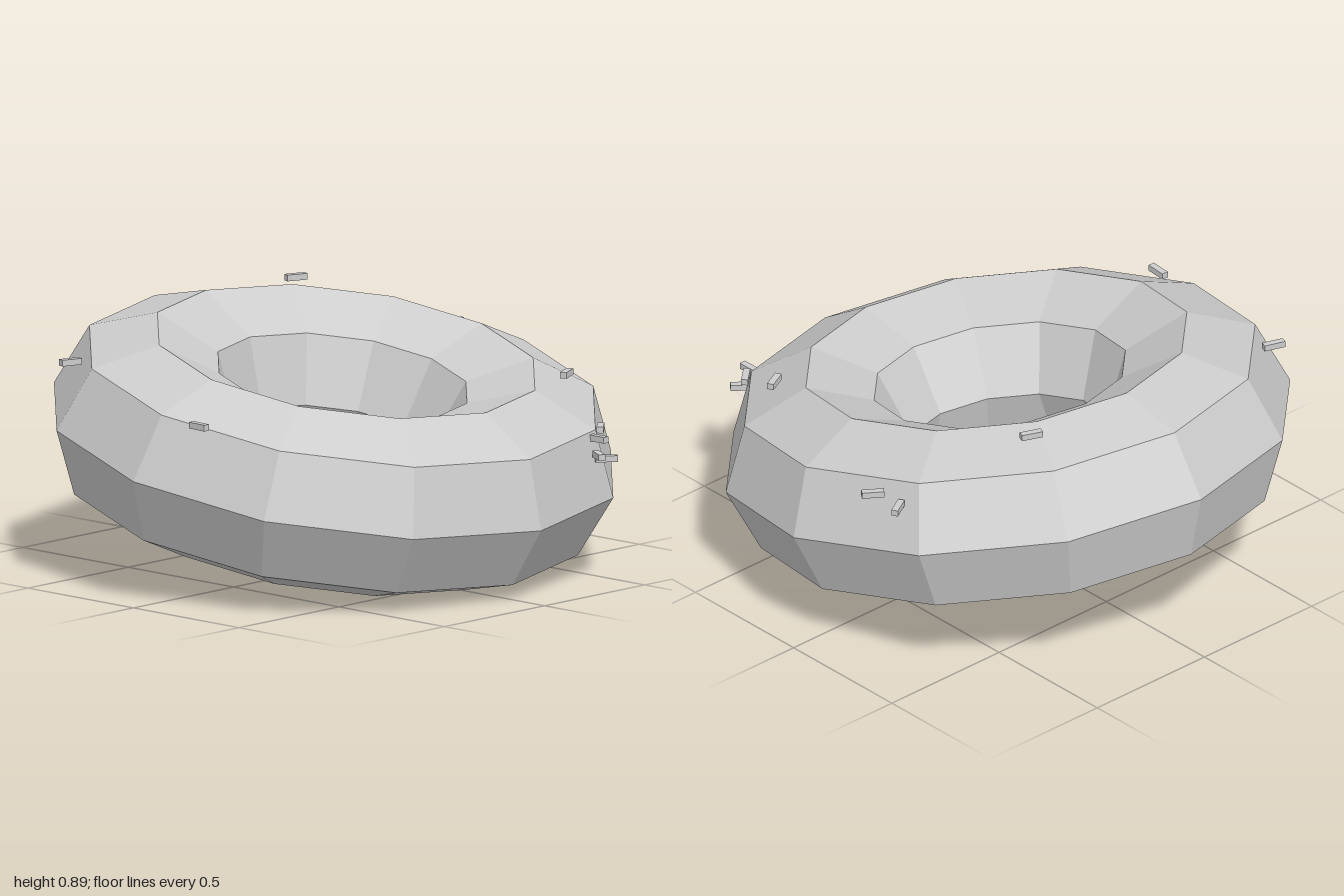
import * as THREE from 'three';

export function createModel() {
  const model = new THREE.Group();
  model.name = 'ringDoughnut';

  const gray = new THREE.MeshStandardMaterial({ color: 0xcccccc });
  gray.name = 'light gray';
  gray.flatShading = true;

  // Low-poly ring, laid flat and tipped towards the front
  const ringGeometry = new THREE.TorusGeometry(0.675, 0.325, 8, 12);
  ringGeometry.rotateX(Math.PI / 2);
  const ring = new THREE.Mesh(ringGeometry, gray);
  ring.name = 'ring';
  ring.rotation.x = THREE.MathUtils.degToRad(10.5);
  ring.position.y = 0.443;
  model.add(ring);

  // Level sprinkles scattered over the ring: x, y, z, turn about y
  const sprinkles = new THREE.Group();
  sprinkles.name = 'sprinkles';
  const sprinkleGeometry = new THREE.BoxGeometry(0.077, 0.022, 0.024);
  const placements = [
    [-0.74, 0.75, -0.545, -0.33],
    [0.418, 0.875, -0.575, -0.38],
    [0.866, 0.68, -0.385, 0.52],
    [0.883, 0.695, -0.275, -0.6],
    [0.595, 0.665, 0.54, 0.45],
    [-0.89, 0.65, 0.207, 1.5],
    [0.49, 0.525, 0.8, 0.72],
    [0.422, 0.505, 0.853, 1.57],
    [0.387, 0.455, 0.89, 1.05],
    [0.443, 0.435, 0.873, -0.67],
  ];
  placements.forEach(([x, y, z, turn], i) => {
    const sprinkle = new THREE.Mesh(sprinkleGeometry, gray);
    sprinkle.name = `sprinkle${i + 1}`;
    sprinkle.position.set(x, y, z);
    sprinkle.rotation.y = turn;
    sprinkles.add(sprinkle);
  });
  model.add(sprinkles);

  return model;
}
